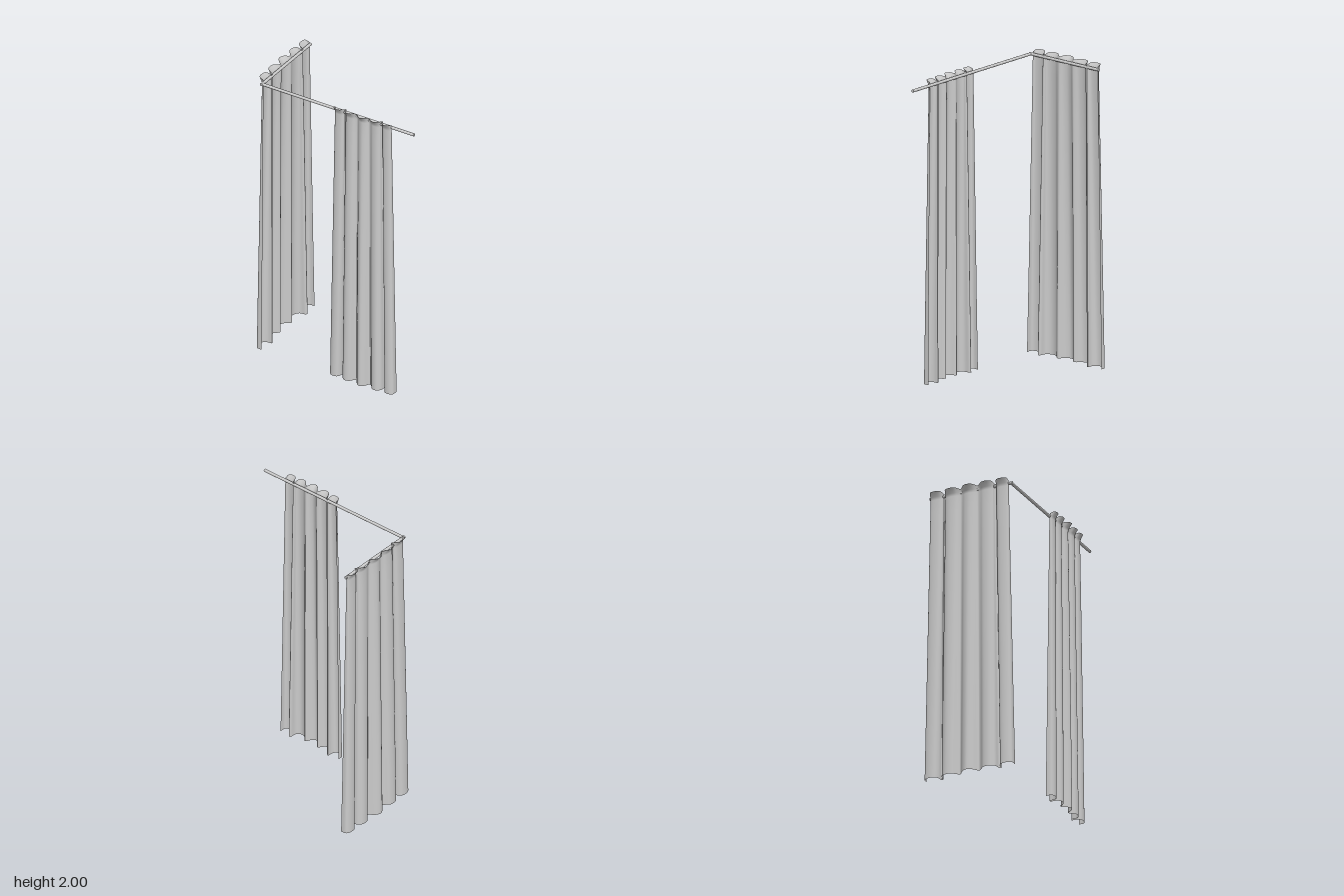
import * as THREE from 'three';

// Left half of the hem outline: across (-0.5 edge .. 0 centre), depth from fold middle
const HALF_FOLD = [
  [-0.5, -0.03], [-0.492, 0.008], [-0.44, 0.022], [-0.375, 0.016], [-0.345, -0.012],
  [-0.338, -0.042], [-0.316, -0.037], [-0.302, 0.004], [-0.25, 0.027], [-0.18, 0.022],
  [-0.135, -0.005], [-0.105, -0.015], [-0.055, 0.022], [0, 0.038],
];

// Height, fold depth, middle of the folds: loose hem, pinch at the rod, ruffle on top
const ROWS = [
  [0, 1, 0.292], [0.5, 0.85, 0.291], [1, 0.7, 0.289], [1.5, 0.54, 0.287],
  [1.85, 0.41, 0.285], [1.95, 0.36, 0.284], [1.97, 0.4, 0.286], [2, 0.75, 0.299],
];

const ROD_Y = 1.97;
const ROD_Z = 0.273;
const SIDE_X = -0.545;

const material = () => new THREE.MeshStandardMaterial({ color: 0xcccccc, side: THREE.DoubleSide });

// Pleated sheet facing +z, slightly narrower at the top
function makeCurtain(name, centre, width) {
  const mirrored = HALF_FOLD.slice(0, -1).reverse().map(([u, d]) => [-u, d]);
  const outline = new THREE.CatmullRomCurve3(
    [...HALF_FOLD, ...mirrored].map(([u, d]) => new THREE.Vector3(u * width, 0, d)),
    false, 'centripetal');
  const cols = 104;
  const points = outline.getPoints(cols);
  const positions = [];
  const index = [];
  ROWS.forEach(([y, depth, middle], r) => {
    const taper = 1 - 0.0635 * y;
    for (const p of points) {
      // the top edge dips slightly where a fold goes back
      const dip = y === 2 ? Math.max(0, 0.01 - p.z) * 0.25 : 0;
      positions.push(centre + p.x * taper, y - dip, middle + p.z * depth);
    }
    if (r === 0) return;
    for (let c = 0; c < cols; c++) {
      const b = r * (cols + 1) + c;
      const a = b - cols - 1;
      index.push(a, a + 1, b + 1, a, b + 1, b);
    }
  });
  const geometry = new THREE.BufferGeometry();
  geometry.setAttribute('position', new THREE.Float32BufferAttribute(positions, 3));
  geometry.setIndex(index);
  geometry.computeVertexNormals();
  const mesh = new THREE.Mesh(geometry, material());
  mesh.name = name;
  return mesh;
}

// Round bar between two points
function makeRod(name, from, to) {
  const direction = to.clone().sub(from);
  const mesh = new THREE.Mesh(new THREE.CylinderGeometry(0.01, 0.01, direction.length(), 12), material());
  mesh.position.copy(from).add(to).multiplyScalar(0.5);
  mesh.quaternion.setFromUnitVectors(new THREE.Vector3(0, 1, 0), direction.normalize());
  mesh.name = name;
  return mesh;
}

export function createModel() {
  const model = new THREE.Group();
  model.name = 'cornerCurtains';

  // Rods meeting at a right angle
  model.add(makeRod('frontRod', new THREE.Vector3(SIDE_X, ROD_Y, ROD_Z), new THREE.Vector3(0.6, ROD_Y, ROD_Z)));
  model.add(makeRod('sideRod', new THREE.Vector3(SIDE_X, ROD_Y, -0.3), new THREE.Vector3(SIDE_X, ROD_Y, ROD_Z + 0.01)));

  // Curtains, the side one turned to face -x
  model.add(makeCurtain('frontCurtain', 0.22, 0.48));
  const side = makeCurtain('sideCurtain', -0.0175, 0.625);
  side.rotation.y = -Math.PI / 2;
  side.position.x = SIDE_X + ROD_Z;
  model.add(side);

  return model;
}
